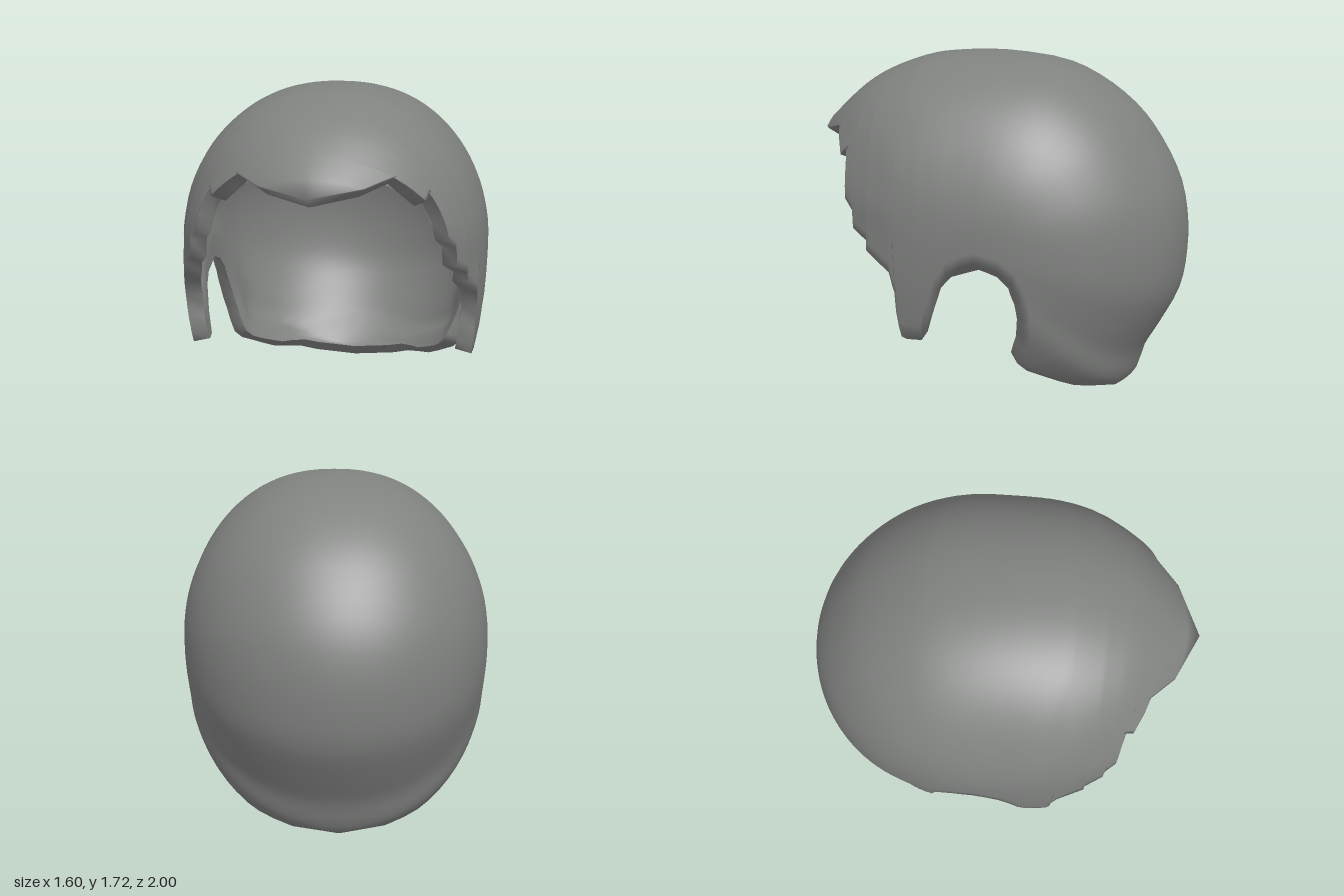
import * as THREE from 'three';
import { mergeVertices } from 'three/addons/utils/BufferGeometryUtils.js';

const { lerp, smoothstep } = THREE.MathUtils;
const HALF_WIDTH = 0.8, CENTRE_Y = 0.9, ROWS = 28;
const DOME_THICKNESS = 0.035, RIM_THICKNESS = 0.085, BEVEL = 0.06;

// Centreline of the head form as [z, y]: fringe peak, crown, back, nape (0..16),
// then a hidden lower part that only shapes the sides.
const PROFILE = [
  [1, 1.28], [0.8, 1.48], [0.635, 1.6], [0.46, 1.675], [0.3, 1.712], [0.02, 1.725],
  [-0.3, 1.69], [-0.52, 1.6], [-0.72, 1.45], [-0.86, 1.27], [-0.96, 1.07], [-1, 0.87],
  [-1, 0.68], [-0.97, 0.51], [-0.88, 0.33], [-0.8, 0.19], [-0.72, 0.005],
  [-0.45, -0.11], [-0.2, -0.13], [0, -0.18], [0.4, -0.4], [0.75, -0.2], [0.97, 0.3],
  [1, 0.85], [1.05, 1.1],
];

// Lower edge in side view as [z, y, matching position on the profile]
const EDGE = [
  [1, 1.28, 0], [0.88, 1.315, 0.4], [0.75, 1.355, 0.8], [0.735, 1.3, 0.9],       // fringe
  [0.695, 1.23, 1], [0.645, 1.27, 1.2], [0.63, 1.13, 1.5], [0.63, 1.03, 1.75],   // temple locks
  [0.58, 0.98, 2], [0.575, 0.89, 2.2], [0.475, 0.835, 2.6], [0.485, 0.79, 2.75],
  [0.35, 0.7, 3], [0.33, 0.62, 3.35], [0.305, 0.56, 3.6], [0.32, 0.5, 3.68],     // sideburn
  [0.31, 0.42, 3.75], [0.3, 0.365, 3.82], [0.27, 0.355, 3.95], [0.19, 0.36, 4.15],
  [0.15, 0.48, 4.3], [0.1, 0.62, 4.5], [0.04, 0.68, 4.75], [-0.1, 0.73, 5.4],    // ear arch
  [-0.2, 0.7, 6.2], [-0.26, 0.64, 7.2], [-0.28, 0.55, 8.5], [-0.285, 0.46, 10],
  [-0.27, 0.35, 11.5], [-0.22, 0.23, 13], [-0.26, 0.185, 13.6], [-0.49, 0.08, 14.7], // nape
  [-0.64, 0.055, 15.4], [-0.72, 0.005, 16],
];

const curve = new THREE.CatmullRomCurve3(
  PROFILE.map(([z, y]) => new THREE.Vector3(0, y, z)), true, 'catmullrom', 0.5);

// Profile radius by angle around the side centre
const polar = [];
for (let i = 0; i <= 250; i++) {
  const p = curve.getPoint((i % 250) / 250);
  let a = Math.atan2(p.y - CENTRE_Y, p.z);
  if (i && a < polar[i - 1][0] - 1) a += Math.PI * 2;
  polar.push([a, Math.hypot(p.z, p.y - CENTRE_Y)]);
}
function radiusAt(angle) {
  const a = angle < polar[0][0] ? angle + Math.PI * 2 : angle;
  let i = 1;
  while (i < polar.length - 1 && polar[i][0] < a) i++;
  const [a0, r0] = polar[i - 1], [a1, r1] = polar[i];
  return lerp(r0, r1, (a - a0) / (a1 - a0 || 1));
}

// Roundness of the form in the direction of a side-view point:
// more conical towards the crown, pinched at the fringe peak
function shapeAt(z, y) {
  const a = Math.atan2(y - CENTRE_Y, z);
  const rho = Math.hypot(z, y - CENTRE_Y) / radiusAt(a);
  const up = Math.pow(Math.max(0, Math.sin(a)), 2), back = Math.max(0, -Math.cos(a));
  const power = Math.pow(rho, 2.3 - 0.45 * up + 0.12 * back);
  const exponent = 0.5 - 0.07 * up + 0.15 * Math.exp(-Math.pow((a - 0.28) / 0.3, 2));
  return { power, exponent };
}
function halfWidth(z, y) {
  const { power, exponent } = shapeAt(z, y);
  return HALF_WIDTH * Math.pow(Math.max(0, 1 - power), exponent);
}
function field(x, y, z) {
  const { power, exponent } = shapeAt(z, y);
  return Math.pow(Math.abs(x) / HALF_WIDTH, 1 / exponent) + power;
}
function normalAt({ x, y, z }) {
  const h = 0.02;
  return new THREE.Vector3(
    field(x + h, y, z) - field(x - h, y, z),
    field(x, y + h, z) - field(x, y - h, z),
    field(x, y, z + h) - field(x, y, z - h)).normalize();
}

// Edge stations, refined where they are far apart on the profile
function stations() {
  const list = [EDGE[0]];
  for (let i = 1; i < EDGE.length; i++) {
    const a = EDGE[i - 1], b = EDGE[i], n = Math.ceil((b[2] - a[2]) / 0.4);
    for (let k = 1; k <= n; k++) list.push(a.map((v, j) => lerp(v, b[j], k / n)));
  }
  return list;
}

// Outer and inner strips from the right edge over the centreline to the left edge
function buildStrips([ez, ey, u]) {
  const top = curve.getPoint(u / PROFILE.length);
  const length = Math.hypot(top.z - ez, top.y - ey);
  // the outer surface stops short of the edge around the ears and nape
  const bevel = smoothstep(u, 4.2, 5) * Math.min(BEVEL / (length || 1), 0.1);
  const closed = u === 0 || u === 16;
  const pointAt = (side, t) => {
    const z = lerp(top.z, ez, t), y = lerp(top.y, ey, t);
    return new THREE.Vector3(closed ? 0 : side * halfWidth(z, y), y, z);
  };
  const outer = [], inner = [];
  for (let j = -ROWS; j <= ROWS; j++) {
    const t = 1 - Math.cos(Math.abs(j) / ROWS * Math.PI / 2), side = Math.sign(j);
    outer.push(pointAt(side, t * (1 - bevel)));
    // thin dome, thicker lip near the edge
    const p = pointAt(side, t);
    const lip = 1 - smoothstep((1 - t) * length, 0.1, 0.35);
    inner.push(p.addScaledVector(normalAt(p), -lerp(DOME_THICKNESS, RIM_THICKNESS, lip)));
  }
  return { outer, inner };
}

function gridGeometry(grid, flip) {
  const row = grid[0].length, index = [];
  for (let i = 0; i < grid.length - 1; i++) {
    for (let j = 0; j < row - 1; j++) {
      const a = i * row + j, b = a + 1, c = a + row, d = c + 1;
      if (flip) index.push(a, c, b, b, c, d);
      else index.push(a, b, c, b, d, c);
    }
  }
  const geometry = new THREE.BufferGeometry().setFromPoints(grid.flat());
  geometry.setIndex(index);
  const merged = mergeVertices(geometry, 1e-5);
  merged.computeVertexNormals();
  return merged;
}

export function createModel() {
  const group = new THREE.Group();
  group.name = 'hairShell';
  const grey = new THREE.MeshStandardMaterial({ color: 0x808280 });
  grey.name = 'hair grey';

  const add = (name, geometry) => {
    const mesh = new THREE.Mesh(geometry, grey);
    mesh.name = name;
    group.add(mesh);
  };

  const strips = stations().map(buildStrips);
  // Outer surface rolls smoothly over the edge to meet the lining
  add('outerHair', gridGeometry(
    strips.map(({ outer, inner }) => [inner[0], ...outer, inner[ROWS * 2]]), false));
  add('innerLining', gridGeometry(strips.map(({ inner }) => inner), true));
  return group;
}
